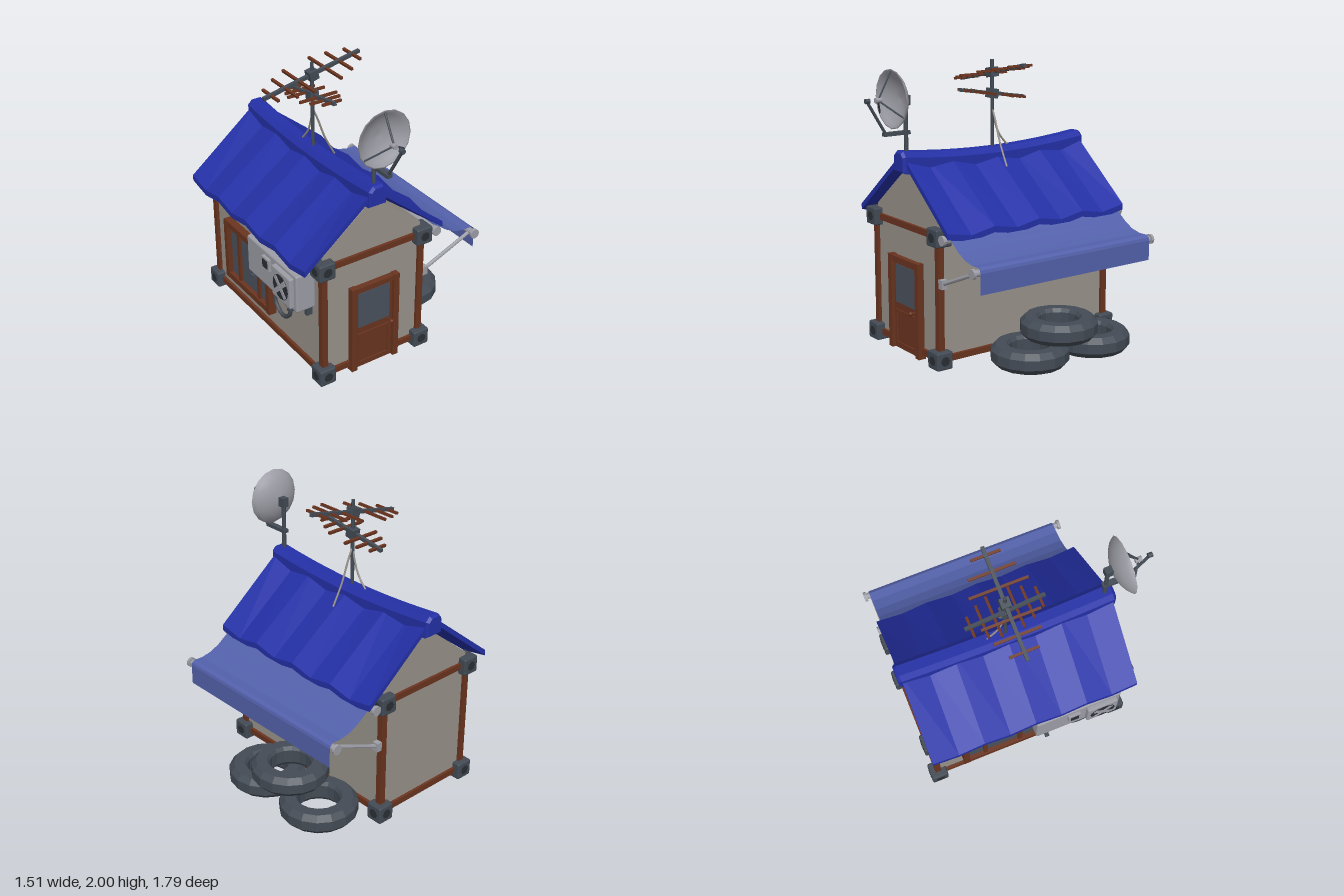
import * as THREE from 'three';
import { RoundedBoxGeometry } from 'three/addons/geometries/RoundedBoxGeometry.js';

const mat = (name, color, double) => {
  const m = new THREE.MeshStandardMaterial({ color });
  m.name = name;
  if (double) m.side = THREE.DoubleSide;
  return m;
};
const V = (x, y, z) => new THREE.Vector3(x, y, z);

// faceted copy of a geometry
const flat = (g) => {
  const f = g.index ? g.toNonIndexed() : g;
  f.computeVertexNormals();
  return f;
};

// shift every vertex by a rule
const warp = (g, rule) => {
  const p = g.attributes.position;
  for (let i = 0; i < p.count; i++) {
    const v = V().fromBufferAttribute(p, i);
    rule(v);
    p.setXYZ(i, v.x, v.y, v.z);
  }
  return flat(g);
};

export function createModel() {
  const root = new THREE.Group();
  root.name = 'hut';
  const wall = mat('plaster', 0x98928a);
  const wood = mat('brown wood', 0x6a341f);
  const roofBlue = mat('roof blue', 0x2430a6);
  const cloth = mat('awning cloth', 0x5361ab, true);
  const slate = mat('slate', 0x434b55);
  const grey = mat('light metal', 0x9d9da6, true);
  const glass = mat('glass', 0x4a515d);
  const black = mat('dark recess', 0x2a2e34);

  const group = (name) => {
    const g = new THREE.Group();
    g.name = name;
    root.add(g);
    return g;
  };
  const add = (parent, name, geo, m) => {
    const mesh = new THREE.Mesh(geo, m);
    mesh.name = name;
    parent.add(mesh);
    return mesh;
  };
  // box given by its limits
  const box = (parent, name, m, x0, x1, y0, y1, z0, z1) =>
    add(parent, name, new THREE.BoxGeometry(x1 - x0, y1 - y0, z1 - z0)
      .translate((x0 + x1) / 2, (y0 + y1) / 2, (z0 + z1) / 2), m);
  // round bar between two points
  const bar = (parent, name, m, a, b, r, sides = 8) => {
    const d = b.clone().sub(a);
    const mesh = add(parent, name, flat(new THREE.CylinderGeometry(r, r, d.length(), sides)), m);
    mesh.position.copy(a).add(b).multiplyScalar(0.5);
    mesh.quaternion.setFromUnitVectors(V(0, 1, 0), d.normalize());
    return mesh;
  };
  const tube = (parent, name, m, pts, r) =>
    add(parent, name, new THREE.TubeGeometry(new THREE.CatmullRomCurve3(pts), 16, r, 6), m);

  const CX = -0.17, CZ = -0.12;
  const XS = [-0.56, 0.22], YS = [0.067, 0.913], ZS = [-0.828, 0.59];

  // walls with gables
  const gable = new THREE.Shape([[-0.56, 0.06], [0.22, 0.06], [0.22, 1], [CX, 1.31], [-0.56, 1]]
    .map(([x, y]) => new THREE.Vector2(x, y)));
  add(root, 'walls', new THREE.ExtrudeGeometry(gable, { depth: 1.42, bevelEnabled: false })
    .translate(0, 0, -0.83), wall);

  // timber frame and corner blocks
  const frame = group('timberFrame');
  const h = 0.022;
  for (const x of XS) for (const z of ZS) box(frame, 'post', wood, x - h, x + h, 0.07, 0.91, z - h, z + h);
  for (const y of YS) {
    for (const z of ZS) box(frame, 'crossBeam', wood, XS[0], XS[1], y - h, y + h, z - h, z + h);
    for (const x of XS) box(frame, 'sideBeam', wood, x - h, x + h, y - h, y + h, ZS[0], ZS[1]);
    for (const x of XS) for (const z of ZS) {
      add(frame, 'cornerBlock', new RoundedBoxGeometry(0.125, 0.125, 0.125, 1, 0.012).translate(x, y, z), slate);
      const sx = Math.sign(x - CX), sz = Math.sign(z - CZ);
      bar(frame, 'blockHole', black, V(x, y, z), V(x, y, z + sz * 0.065), 0.034);
      bar(frame, 'blockHole', black, V(x, y, z), V(x + sx * 0.065, y, z), 0.034);
    }
  }

  // sagging corrugated roof
  const sag = (z) => 0.045 * (1 - ((z - CZ) / 0.75) ** 2);
  const ridged = (z) => (Math.round((z - CZ + 0.75) / 0.1875) % 2 ? -0.02 : 0.015);
  for (const s of [-1, 1]) {
    const g = new THREE.BoxGeometry(0.55, 0.042, 1.5, 1, 1, 8).translate(s * 0.275, 0, CZ);
    add(root, 'roofSlope', warp(g, (v) => {
      const t = Math.abs(v.x) / 0.55;
      v.y += 1.378 - 0.445 * t - sag(v.z) * (1 - t) + ridged(v.z);
      v.x += CX;
    }), roofBlue);
  }
  const capShape = new THREE.Shape([[-0.055, 1.295], [0.055, 1.295], [0.055, 1.39], [0.03, 1.417], [-0.03, 1.417], [-0.055, 1.39]]
    .map(([x, y]) => new THREE.Vector2(x + CX, y)));
  const cap = new THREE.ExtrudeGeometry(capShape,
    { depth: 1.51, steps: 10, bevelSize: 0.014, bevelThickness: 0.02, bevelSegments: 1 }).translate(0, 0, CZ - 0.755);
  add(root, 'ridgeCap', warp(cap, (v) => { v.y -= Math.max(0, sag(v.z)); }), roofBlue);

  // door
  const door = group('door');
  for (const x of [-0.36, -0.018]) box(door, 'doorJamb', wood, x, x + 0.044, 0.01, 0.685, 0.58, 0.637);
  box(door, 'doorLintel', wood, -0.33, 0, 0.643, 0.68, 0.58, 0.633);
  box(door, 'doorLeaf', wood, -0.32, -0.014, 0.012, 0.65, 0.58, 0.612);
  box(door, 'doorGlass', glass, -0.296, -0.04, 0.345, 0.622, 0.6, 0.616);
  for (const x of [-0.3, -0.056]) box(door, 'panelStile', wood, x, x + 0.02, 0.04, 0.295, 0.6, 0.622);
  for (const y of [0.04, 0.275]) box(door, 'panelRail', wood, -0.3, -0.036, y, y + 0.02, 0.6, 0.622);
  bar(door, 'knobStem', wood, V(-0.045, 0.325, 0.61), V(-0.045, 0.325, 0.645), 0.007);
  add(door, 'doorKnob', new THREE.SphereGeometry(0.016, 10, 8).translate(-0.045, 0.325, 0.653), wood);

  // side window
  const win = group('sideWindow');
  box(win, 'windowGlass', glass, -0.585, -0.55, 0.22, 0.67, -0.61, -0.04);
  for (const z of [-0.63, -0.062]) box(win, 'windowJamb', wood, -0.62, -0.55, 0.2, 0.69, z, z + 0.045);
  for (const y of [0.2, 0.645]) box(win, 'windowRail', wood, -0.617, -0.55, y, y + 0.045, -0.62, -0.03);
  for (const z of [-0.47, -0.2]) box(win, 'windowMullion', wood, -0.605, -0.55, 0.22, 0.67, z, z + 0.03);

  // air conditioner on brackets
  const ac = group('airConditioner');
  add(ac, 'coolerBody', new RoundedBoxGeometry(0.15, 0.285, 0.63, 1, 0.014).translate(-0.645, 0.722, 0.205), grey);
  add(ac, 'fanHousing', new RoundedBoxGeometry(0.07, 0.235, 0.23, 1, 0.012).translate(-0.717, 0.722, 0.375), grey);
  bar(ac, 'fanOpening', black, V(-0.73, 0.722, 0.375), V(-0.755, 0.722, 0.375), 0.092, 16);
  for (let i = 0; i < 4; i++) {
    const blade = add(ac, 'fanBlade', new THREE.BoxGeometry(0.006, 0.085, 0.035).translate(0, 0.045, 0), grey);
    blade.position.set(-0.756, 0.722, 0.375);
    blade.rotation.x = Math.PI / 4 + i * Math.PI / 2;
  }
  box(ac, 'controlBox', grey, -0.742, -0.7, 0.74, 0.83, 0.12, 0.21);
  box(ac, 'controlPlate', black, -0.746, -0.74, 0.755, 0.815, 0.135, 0.195);
  for (const z of [-0.05, 0.43]) {
    box(ac, 'bracketArm', slate, -0.74, -0.56, 0.562, 0.582, z, z + 0.03);
    box(ac, 'bracketFoot', slate, -0.605, -0.56, 0.48, 0.58, z, z + 0.03);
  }
  for (const [x, low, w] of [[-0.665, 0.385, 0.1], [-0.63, 0.46, 0.07]])
    tube(ac, 'hose', slate, [V(x, 0.6, 0.25 - w), V(x, low + 0.06, 0.25 - w * 0.9), V(x, low, 0.25),
      V(x, low + 0.06, 0.25 + w * 0.9), V(x, 0.6, 0.25 + w)], 0.015);

  // awning: sagging cloth with a hanging valance
  const awning = group('awning');
  const path = [[0.325, 0.945], [0.39, 0.9], [0.45, 0.855], [0.52, 0.82], [0.6, 0.803], [0.665, 0.805], [0.688, 0.79], [0.694, 0.77], [0.694, 0.63]];
  const sheet = new THREE.PlaneGeometry(1, 1.435, path.length - 1, 1).rotateX(-Math.PI / 2);
  add(awning, 'awningCloth', warp(sheet, (v) => {
    const [x, y] = path[Math.round((v.x + 0.5) * (path.length - 1))];
    v.set(x, y, v.z - 0.123);
  }), cloth);
  bar(awning, 'wallRoller', grey, V(0.325, 0.913, -0.84), V(0.325, 0.913, 0.6), 0.026, 12);
  bar(awning, 'frontRoller', grey, V(0.665, 0.77, -0.84), V(0.665, 0.77, 0.6), 0.024, 12);
  for (const [x, y] of [[0.325, 0.913], [0.665, 0.77]]) for (const z of [-0.883, 0.625])
    bar(awning, 'rollerKnob', grey, V(x, y, z), V(x, y, z + 0.02), 0.035, 12);
  for (const [x, y] of [[0.325, 0.913], [0.665, 0.77]])
    bar(awning, 'rollerAxle', grey, V(x, y, -0.87), V(x, y, 0.63), 0.022, 10);
  for (const z of [-0.828, 0.59]) {
    bar(awning, 'awningArm', grey, V(0.265, 0.6, z), V(0.665, 0.77, z), 0.013);
    box(awning, 'armBracket', grey, 0.235, 0.282, 0.567, 0.63, z - 0.022, z + 0.022);
  }

  // tyre pile
  const tyre = [[0.16, 0], [0.235, 0], [0.27, 0.038], [0.27, 0.107], [0.235, 0.145], [0.16, 0.145], [0.142, 0.12], [0.142, 0.025], [0.16, 0]]
    .map(([x, y]) => new THREE.Vector2(x, y));
  for (const [y, z] of [[0.002, 0.038], [0.002, -0.505], [0.147, -0.212]])
    add(root, 'tyre', flat(new THREE.LatheGeometry(tyre, 16)), slate).position.set(0.485, y, z);

  // satellite dish
  const dish = group('satelliteDish');
  bar(dish, 'dishPole', slate, V(CX, 1.4, 0.59), V(CX, 1.78, 0.59), 0.015);
  box(dish, 'dishMount', slate, CX - 0.024, CX + 0.024, 1.735, 1.802, 0.565, 0.625);
  box(dish, 'feedBeam', slate, CX - 0.02, CX + 0.02, 1.54, 1.565, 0.565, 0.765);
  const bowl = [[0.005, 0.615], [0.07, 0.622], [0.13, 0.643], [0.175, 0.672], [0.2, 0.7], [0.19, 0.703], [0.165, 0.682], [0.12, 0.655], [0.065, 0.635], [0, 0.628]]
    .map(([r, z]) => new THREE.Vector2(r, z));
  add(dish, 'dishBowl', new THREE.LatheGeometry(bowl, 16).rotateX(Math.PI / 2).translate(CX, 1.783, 0), grey);
  for (const a of [90, 215, 325].map(THREE.MathUtils.degToRad))
    bar(dish, 'feedStrut', slate, V(CX + 0.188 * Math.cos(a), 1.783 + 0.188 * Math.sin(a), 0.698), V(CX, 1.783, 0.8), 0.007, 6);
  bar(dish, 'feedHorn', grey, V(CX, 1.783, 0.775), V(CX, 1.783, 0.822), 0.018, 10);
  bar(dish, 'receiverArm', slate, V(CX, 1.56, 0.75), V(CX, 1.775, 0.88), 0.011);
  bar(dish, 'receiver', slate, V(CX, 1.783, 0.865), V(CX, 1.783, 0.897), 0.017, 10);

  // antenna: mast, two tilted booms with cross rods
  const antenna = group('antenna');
  bar(antenna, 'mast', slate, V(CX, 1.3, CZ), V(CX, 1.995, CZ), 0.013);
  const rods = [[0.325, 0.1], [0.215, 0.16], [0.105, 0.2]];
  const boom = (name, y, half, tilt, turn, k) => {
    const g = new THREE.Group();
    g.name = name;
    antenna.add(g);
    box(g, 'boomBar', slate, -half, half, -0.012, 0.012, -0.012, 0.012);
    box(g, 'boomClamp', slate, -0.033, 0.033, -0.033, 0.033, -0.033, 0.033);
    for (const s of [-1, 1]) for (const [d, l] of rods)
      box(g, 'boomRod', wood, s * d * k - 0.009, s * d * k + 0.009, -0.009, 0.009, -l * k, l * k);
    g.position.set(CX, y, CZ);
    g.rotation.set(0, turn, tilt, 'YXZ');
  };
  boom('upperBoom', 1.908, 0.383, 0.21, 0, 1);
  boom('lowerBoom', 1.76, 0.278, -0.155, Math.PI / 2, 0.73);
  tube(antenna, 'sideCable', wall, [V(CX, 1.66, CZ), V(-0.13, 1.57, CZ), V(-0.075, 1.42, CZ), V(0.005, 1.265, CZ)], 0.007);
  tube(antenna, 'ridgeCable', wall, [V(CX, 1.66, CZ), V(CX, 1.57, -0.14), V(CX, 1.47, -0.18), V(CX, 1.385, -0.25)], 0.007);

  return root;
}
